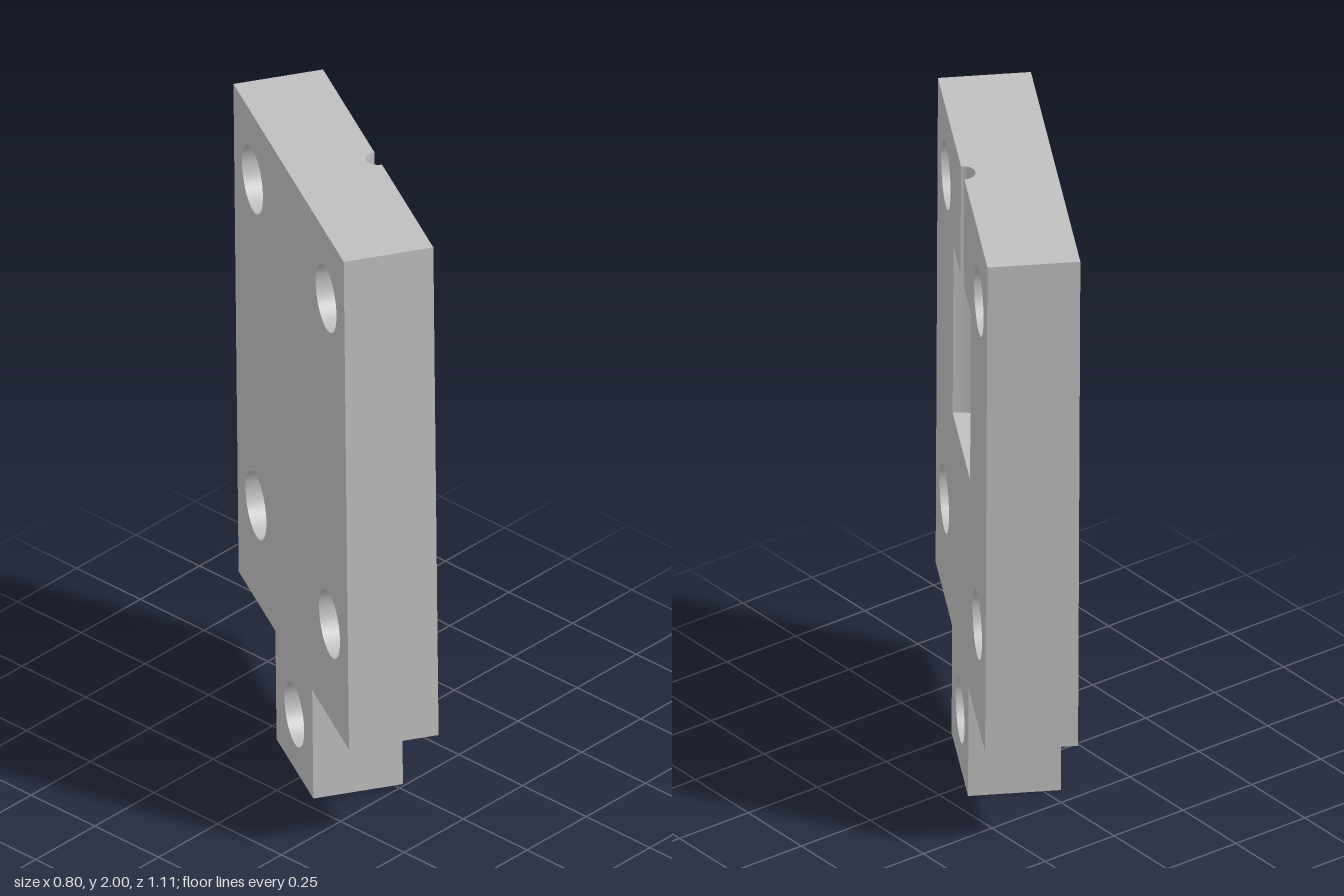
import * as THREE from 'three';

const S = 0.3596;                       // base unit
const W = 1.5 * S, H = 2.25 * S;        // half width and half height of the plate
const T = 0.375 * S;                    // half thickness
const K = 0.5 * S, B = H + S;           // tab half width and tab bottom
const P = 0.19, P_TOP = 0.452, P_BOTTOM = -0.105; // half-round pocket
const G = 0.037;                        // groove radius
const HOLES = [
  [-S, 0.59, 0.102], [S, 0.59, 0.102],
  [-S, -0.491, 0.102], [S, -0.491, 0.102],
  [0, -H - S / 2, 0.096],
];
// outline from top left, counter-clockwise to top right
const OUTLINE = [[-W, H], [-W, -H], [-K, -H], [-K, -B], [K, -B], [K, -H], [W, -H], [W, H]];

export function createModel() {
  const grey = new THREE.MeshStandardMaterial({ color: 0xbfbfbf, side: THREE.DoubleSide });
  grey.name = 'grey';
  const plate = new THREE.Group();
  plate.name = 'mountingPlate';

  const add = (name, geometry, x = 0, y = 0, z = 0) => {
    const mesh = new THREE.Mesh(geometry, grey);
    mesh.name = name;
    mesh.position.set(x, y, z);
    plate.add(mesh);
    return mesh;
  };

  // flat face with the bolt holes cut out
  const face = (points) => {
    const shape = new THREE.Shape(points.map(([x, y]) => new THREE.Vector2(x, y)));
    for (const [x, y, r] of HOLES) {
      shape.holes.push(new THREE.Path().absarc(x, y, r, 0, Math.PI * 2, true));
    }
    return new THREE.ShapeGeometry(shape, 24);
  };

  // horizontal face, drawn as x against depth
  const level = (shape) => new THREE.ShapeGeometry(shape, 24).rotateX(-Math.PI / 2);

  // half-round channel hollowed back from the front face
  const channel = (r, bottom, top) => new THREE.CylinderGeometry(
    r, r, top - bottom, 32, 1, true, Math.PI / 2, Math.PI).translate(0, (top + bottom) / 2, 0);

  // front face, notched for groove and pocket, and plain back face
  const notch = [[G, H], [G, P_TOP], [P, P_TOP], [P, P_BOTTOM],
    [-P, P_BOTTOM], [-P, P_TOP], [-G, P_TOP], [-G, H]];
  add('frontFace', face([...OUTLINE, ...notch]), 0, 0, T);
  add('backFace', face(OUTLINE.map(([x, y]) => [-x, y]).reverse()), 0, 0, -T).rotation.y = Math.PI;

  // side walls of plate and tab
  const pos = [];
  for (let i = 0; i < OUTLINE.length - 1; i++) {
    const a = OUTLINE[i], b = OUTLINE[i + 1];
    pos.push(...a, T, ...a, -T, ...b, -T, ...a, T, ...b, -T, ...b, T);
  }
  const walls = new THREE.BufferGeometry();
  walls.setAttribute('position', new THREE.Float32BufferAttribute(pos, 3));
  walls.computeVertexNormals();
  add('sideWalls', walls);

  // top edge with the groove opening
  const top = new THREE.Shape();
  top.moveTo(G, -T);
  top.lineTo(W, -T);
  top.lineTo(W, T);
  top.lineTo(-W, T);
  top.lineTo(-W, -T);
  top.lineTo(-G, -T);
  top.absarc(0, -T, G, Math.PI, 0, true);
  add('topEdge', level(top), 0, H, 0);

  // pocket and groove
  add('pocketWall', channel(P, P_BOTTOM, P_TOP), 0, 0, T);
  add('grooveWall', channel(G, P_TOP, H), 0, 0, T);
  const floor = new THREE.Shape().absarc(0, 0, P, 0, Math.PI, false);
  add('pocketFloor', level(floor), 0, P_BOTTOM, T);
  const ceiling = new THREE.Shape().absarc(0, 0, P, 0, Math.PI, false);
  ceiling.lineTo(-G, 0);
  ceiling.absarc(0, 0, G, Math.PI, 0, true);
  add('pocketCeiling', level(ceiling), 0, P_TOP, T);

  // bolt hole bores
  for (const [x, y, r] of HOLES) {
    const bore = new THREE.CylinderGeometry(r, r, 2 * T, 48, 1, true).rotateX(Math.PI / 2);
    add('boltHole', bore, x, y, 0);
  }

  // turned sideways and leaning slightly in its own plane
  plate.rotation.set(0, Math.PI / 3, -0.0315);
  plate.position.y = 1.1737;

  const model = new THREE.Group();
  model.name = 'model';
  model.add(plate);
  return model;
}
